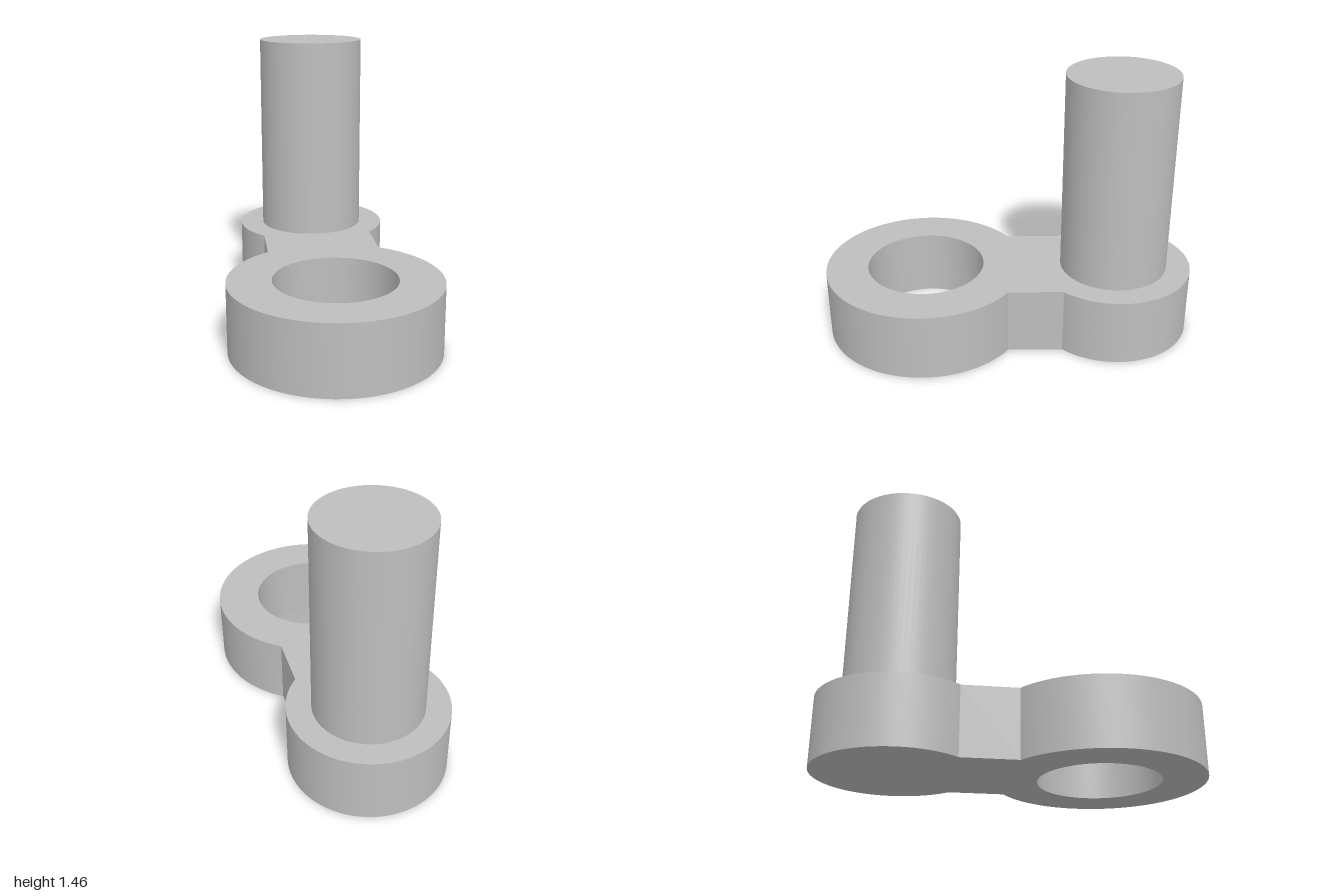
import * as THREE from 'three';
import { toCreasedNormals } from 'three/addons/utils/BufferGeometryUtils.js';

export function createModel() {
  const model = new THREE.Group();
  model.name = 'crankLink';
  const steel = new THREE.MeshStandardMaterial({ color: 0xbebebe });
  steel.name = 'grey steel';

  const thickness = 0.365;
  const webHalf = 0.305;
  const eye = { z: 0.455, r: 0.545, bore: 0.317 };
  const boss = { z: -0.579, r: 0.421 };
  const pin = { r: 0.291, top: 1.455 };

  // Link plate: large bored eye, straight web and small boss in one outline
  const a = Math.acos(webHalf / eye.r);
  const b = Math.acos(webHalf / boss.r);
  const outline = new THREE.Shape();
  outline.absarc(0, -eye.z, eye.r, a, -Math.PI - a, true);
  outline.absarc(0, -boss.z, boss.r, Math.PI + b, -b, true);
  outline.closePath();
  const bore = new THREE.Path();
  bore.absarc(0, -eye.z, eye.bore, 0, Math.PI * 2, false);
  outline.holes.push(bore);

  const plate = new THREE.ExtrudeGeometry(outline, {
    depth: thickness, bevelEnabled: false, curveSegments: 64,
  });
  plate.rotateX(-Math.PI / 2);
  const linkPlate = new THREE.Mesh(toCreasedNormals(plate, 0.4), steel);
  linkPlate.name = 'linkPlate';
  model.add(linkPlate);

  // Pin standing on the boss
  const pinHeight = pin.top - thickness;
  const pinMesh = new THREE.Mesh(new THREE.CylinderGeometry(pin.r, pin.r, pinHeight, 64), steel);
  pinMesh.name = 'pin';
  pinMesh.position.set(0, thickness + pinHeight / 2, boss.z);
  model.add(pinMesh);

  return model;
}
